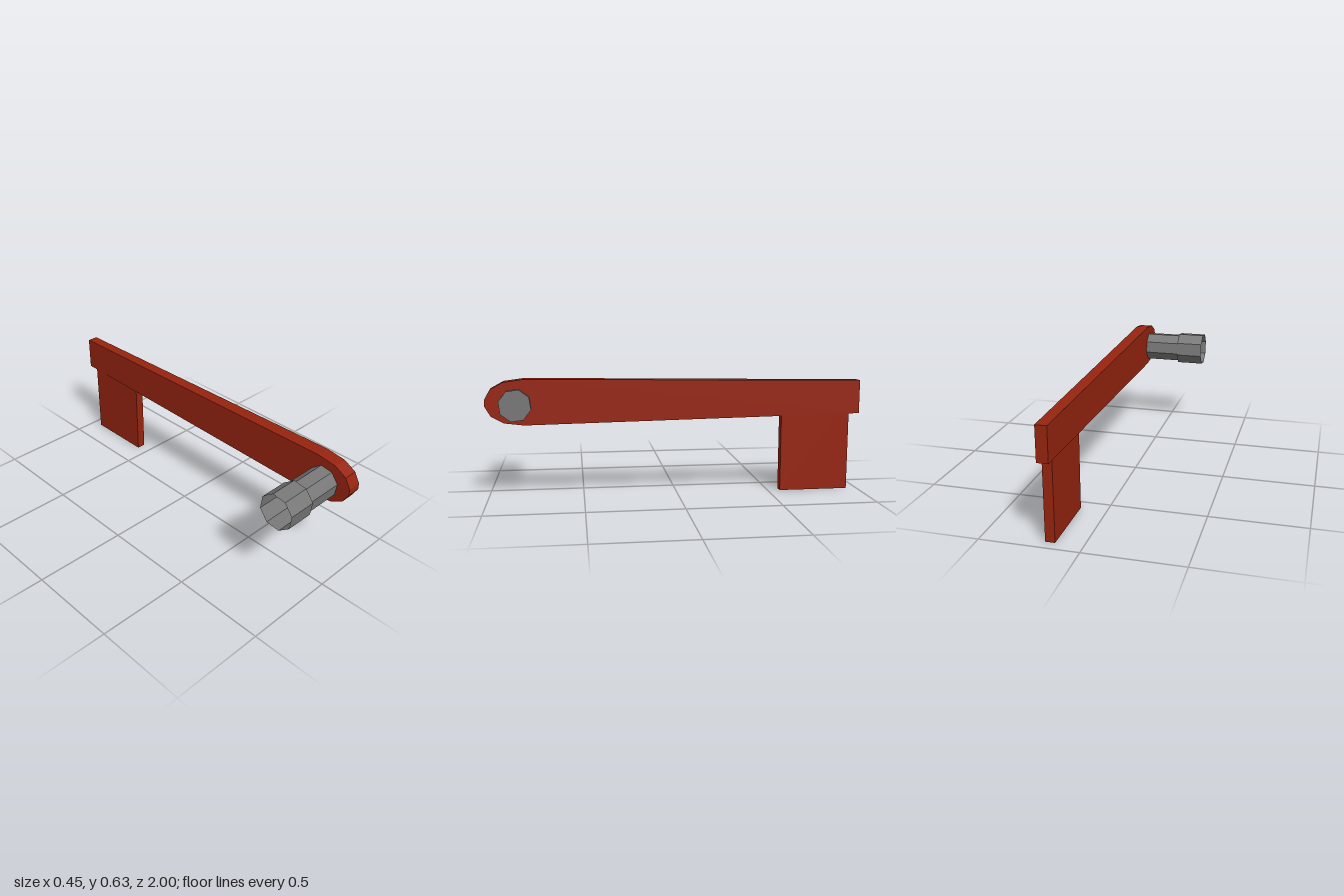
import * as THREE from 'three';

export function createModel() {
  const red = new THREE.MeshStandardMaterial({ color: 0x96240f, flatShading: true });
  red.name = 'rust red paint';
  const grey = new THREE.MeshStandardMaterial({ color: 0x777777, flatShading: true, side: THREE.DoubleSide });
  grey.name = 'grey steel';

  const model = new THREE.Group();
  model.name = 'crankKey';
  const add = (name, geometry, material) => {
    const flat = geometry.index ? geometry.toNonIndexed() : geometry;
    flat.computeVertexNormals();
    const mesh = new THREE.Mesh(flat, material);
    mesh.name = name;
    model.add(mesh);
    return mesh;
  };

  // Tapered arm: side outline as (z, y), rounded at the front end
  const outline = [
    [-1, 0.42], [0.8, 0.391], [0.905, 0.404], [0.97, 0.441], [1, 0.493],
    [1, 0.527], [0.97, 0.58], [0.905, 0.616], [0.8, 0.63], [-1, 0.6],
  ].map(([z, y]) => new THREE.Vector2(z, y));
  const arm = new THREE.ExtrudeGeometry(new THREE.Shape(outline), { depth: 1, bevelEnabled: false });
  arm.translate(0, 0, -0.5).rotateY(-Math.PI / 2);

  // Thin the arm towards the back
  const p = arm.attributes.position;
  for (let i = 0; i < p.count; i++) {
    const t = (p.getZ(i) + 1) / 2;
    p.setX(i, 0.163 + p.getX(i) * THREE.MathUtils.lerp(0.058, 0.075, t));
  }
  add('arm', arm, red);

  // Flat blade hanging below the back end
  add('blade', new THREE.BoxGeometry(0.049, 0.5, 0.377), red).position.set(0.1635, 0.25, -0.755);

  // Eight-sided stepped pin, open at the wide end
  const profile = [[0.097, -0.228], [0.097, -0.075], [0.0855, -0.075], [0.0855, 0.227], [0, 0.227]]
    .map(([r, x]) => new THREE.Vector2(r, x));
  const pin = new THREE.LatheGeometry(profile, 8, -Math.PI / 12);
  pin.rotateZ(-Math.PI / 2);
  add('pin', pin, grey).position.set(0, 0.497, 0.846);

  return model;
}
